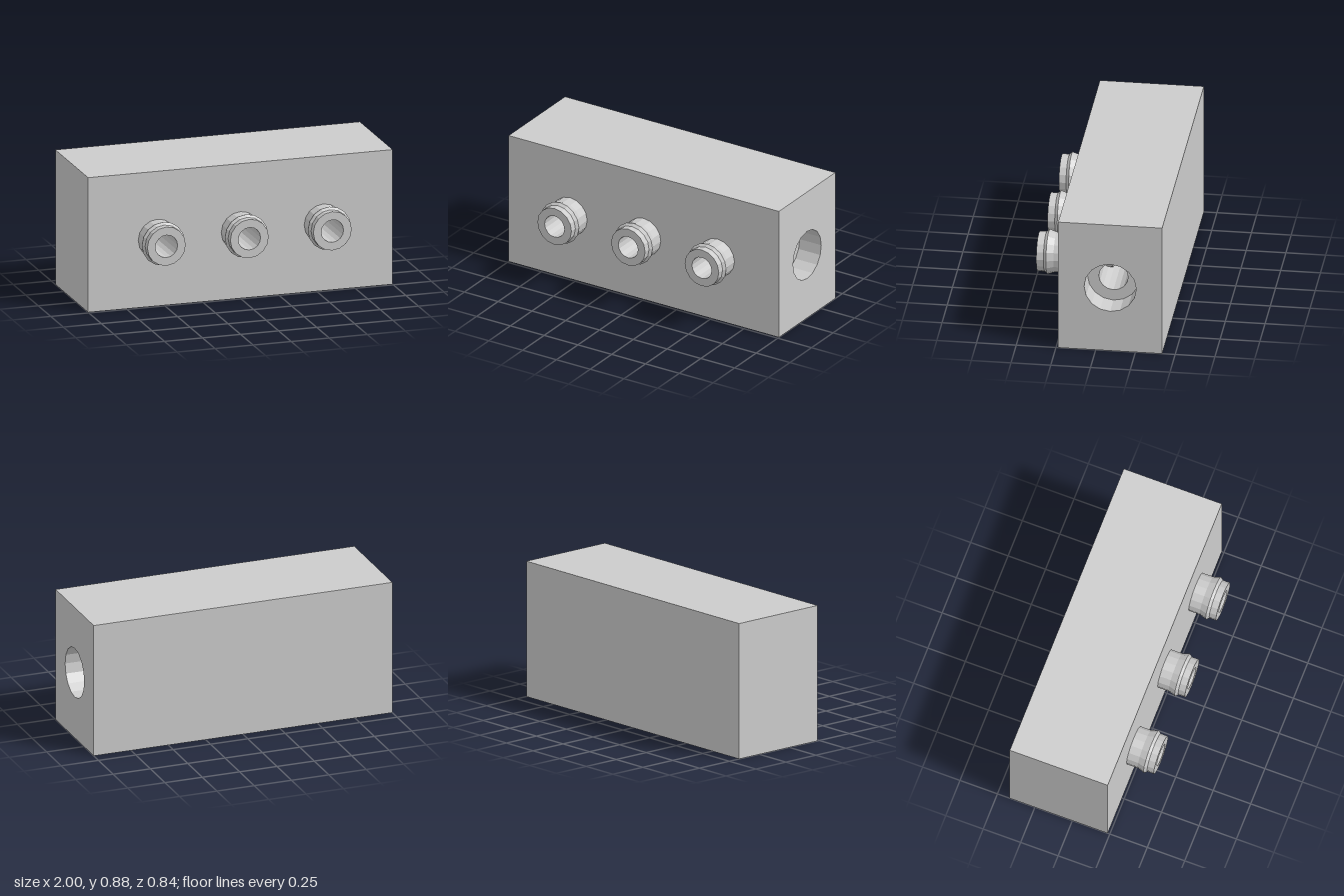
import * as THREE from 'three';

const SIDES = 16;
const W = 2, H = 0.875, BACK = -0.418, FRONT = 0.236, TIP = 0.418;
const AXIS_Y = H / 2, PORT_Z = (BACK + FRONT) / 2;
const BORE_R = 0.073, PORT_R = 0.164;
const BARB_X = [-0.545, 0, 0.545];

export function createModel() {
  const model = new THREE.Group();
  model.name = 'manifoldBlock';
  const material = new THREE.MeshStandardMaterial({
    color: 0xcccccc, flatShading: true, side: THREE.DoubleSide,
  });

  const add = (name, geometry, parent = model) => {
    const mesh = new THREE.Mesh(geometry, material);
    mesh.name = name;
    parent.add(mesh);
    return mesh;
  };

  // Rectangular wall, centred, with optional polygonal holes [x, y, radius]
  const wall = (w, h, holes = []) => {
    const shape = new THREE.Shape([
      new THREE.Vector2(-w / 2, -h / 2), new THREE.Vector2(w / 2, -h / 2),
      new THREE.Vector2(w / 2, h / 2), new THREE.Vector2(-w / 2, h / 2),
    ]);
    for (const [x, y, r] of holes) {
      const points = [];
      for (let i = 0; i < SIDES; i++) {
        const a = -i / SIDES * Math.PI * 2;
        points.push(new THREE.Vector2(x + r * Math.cos(a), y + r * Math.sin(a)));
      }
      shape.holes.push(new THREE.Path(points));
    }
    return new THREE.ShapeGeometry(shape);
  };

  const lathe = (profile) =>
    new THREE.LatheGeometry(profile.map(([r, d]) => new THREE.Vector2(r, d)), SIDES);

  // Block walls, drilled on the front and the left end
  const block = new THREE.Group();
  block.name = 'block';
  model.add(block);
  const D = FRONT - BACK;
  add('frontWall', wall(W, H, BARB_X.map((x) => [x, 0, BORE_R]))
    .translate(0, AXIS_Y, FRONT), block);
  add('backWall', wall(W, H).rotateY(Math.PI).translate(0, AXIS_Y, BACK), block);
  add('leftWall', wall(D, H, [[0, 0, PORT_R]])
    .rotateY(Math.PI / 2).translate(W / 2, AXIS_Y, PORT_Z), block);
  add('rightWall', wall(D, H).rotateY(-Math.PI / 2).translate(-W / 2, AXIS_Y, PORT_Z), block);
  add('topWall', wall(W, D).rotateX(-Math.PI / 2).translate(0, H, PORT_Z), block);
  add('bottomWall', wall(W, D).rotateX(Math.PI / 2).translate(0, 0, PORT_Z), block);

  // Stepped blind port in the left end
  add('inletPort', lathe([
    [PORT_R, W / 2], [PORT_R, 0.84], [0.092, 0.84], [0.092, 0.4], [0, 0.4],
  ]).rotateZ(-Math.PI / 2).translate(0, AXIS_Y, PORT_Z));

  // Hose barbs, each with its blind bore running into the block
  const barb = lathe([
    [0.126, FRONT], [0.126, 0.31], [0.141, 0.355], [0.126, 0.373], [0.126, TIP],
    [BORE_R, TIP], [BORE_R, -0.055], [0, -0.055],
  ]).rotateX(Math.PI / 2);
  BARB_X.forEach((x, i) => add(`hoseBarb${i + 1}`, barb).position.set(x, AXIS_Y, 0));

  return model;
}
